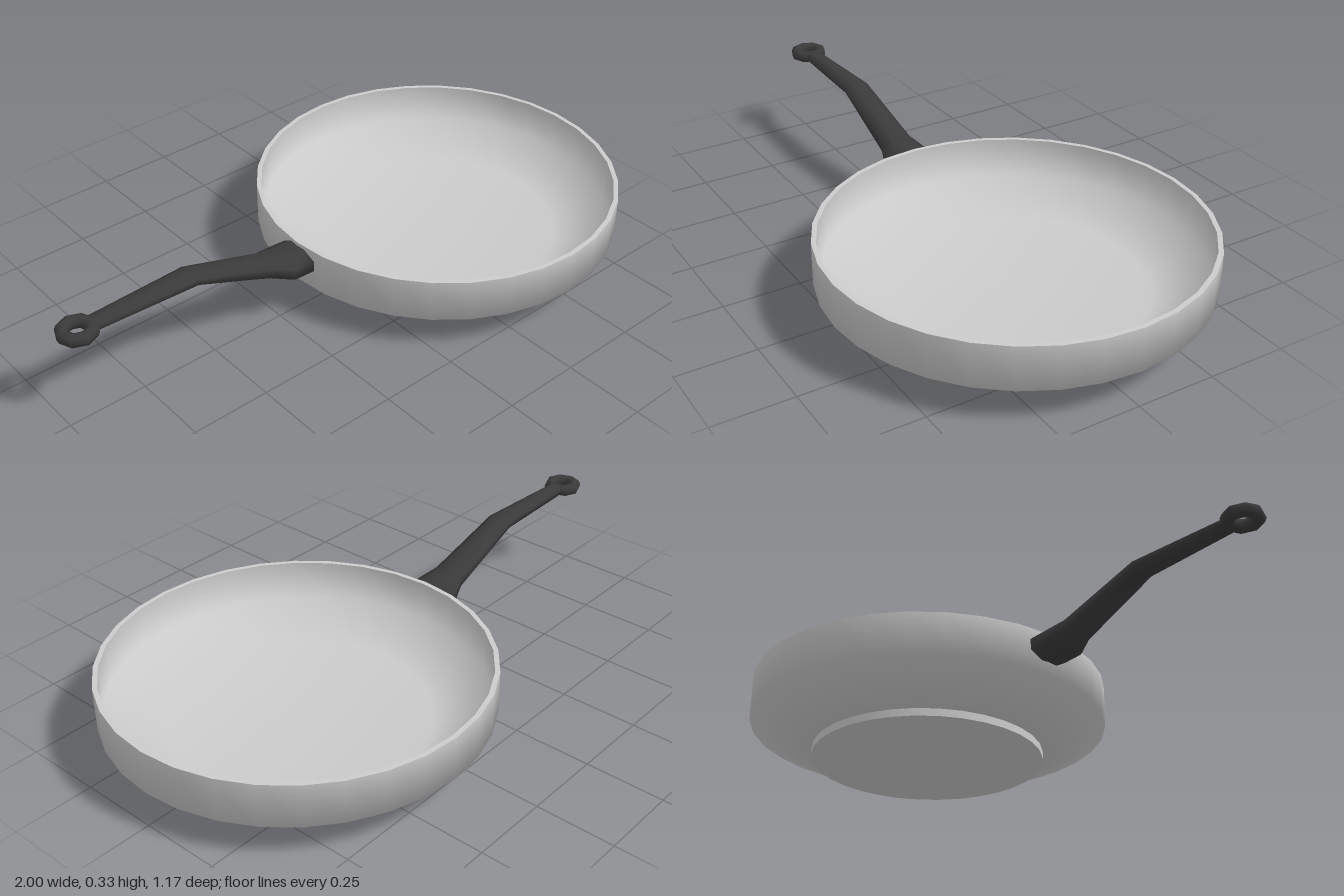
import * as THREE from 'three';

const CX = 0.41; // pan axis
const metal = new THREE.MeshStandardMaterial({ color: 0xcccccc, side: THREE.DoubleSide });
const dark = new THREE.MeshStandardMaterial({ color: 0x3a3a3a });

// Smooth surface of revolution; separate strips keep sharp edges between them
function lathe(name, points) {
  const geo = new THREE.LatheGeometry(points.map(([r, y]) => new THREE.Vector2(r, y)), 32);
  const mesh = new THREE.Mesh(geo, metal);
  mesh.name = name;
  return mesh;
}

// Octagonal loft along x from sections [x, centre y, half height, half width]
function loft(sections) {
  const n = 8, pos = [], idx = [];
  const c = Math.cos(Math.PI / n);
  for (const [x, y, h, w] of sections) {
    for (let i = 0; i < n; i++) {
      const a = (i + 0.5) / n * Math.PI * 2;
      pos.push(x, y + Math.sin(a) * h / c, Math.cos(a) * w / c);
    }
  }
  for (let s = 0; s < sections.length - 1; s++) {
    for (let i = 0; i < n; i++) {
      const a = s * n + i, b = s * n + (i + 1) % n;
      idx.push(a, b, a + n, b, b + n, a + n);
    }
  }
  // End caps
  const last = (sections.length - 1) * n;
  for (let i = 1; i < n - 1; i++) {
    idx.push(0, i + 1, i);
    idx.push(last, last + i, last + i + 1);
  }
  const geo = new THREE.BufferGeometry();
  geo.setAttribute('position', new THREE.Float32BufferAttribute(pos, 3));
  geo.setIndex(idx);
  geo.computeVertexNormals();
  return geo;
}

export function createModel() {
  const model = new THREE.Group();
  model.name = 'fryingPan';

  // Pan body
  const pan = new THREE.Group();
  pan.name = 'pan';
  pan.position.x = CX;
  pan.add(
    lathe('baseUnderside', [[0, 0], [0.38, 0]]),
    lathe('baseEdge', [[0.38, 0], [0.38, 0.025]]),
    lathe('outerWall', [[0.38, 0.025], [0.405, 0.03], [0.587, 0.11], [0.587, 0.247]]),
    lathe('rim', [[0.587, 0.247], [0.572, 0.247]]),
    lathe('innerWall', [[0.572, 0.247], [0.572, 0.12], [0.4, 0.05], [0, 0.05]])
  );
  model.add(pan);

  // Handle: collar at the wall, rising neck, level grip
  const handle = new THREE.Group();
  handle.name = 'handle';
  const shaft = new THREE.Mesh(loft([
    [-0.165, 0.192, 0.042, 0.072],
    [-0.24, 0.196, 0.042, 0.072],
    [-0.295, 0.217, 0.036, 0.052],
    [-0.565, 0.312, 0.0215, 0.041],
    [-0.89, 0.312, 0.0205, 0.027],
  ]), dark);
  shaft.name = 'handleShaft';

  // Hanging eye at the tip
  const eye = new THREE.Mesh(new THREE.TorusGeometry(0.043, 0.0205, 8, 8), dark);
  eye.name = 'hangingEye';
  eye.rotation.x = Math.PI / 2;
  eye.position.set(-0.9365, 0.312, 0);

  handle.add(shaft, eye);
  model.add(handle);
  return model;
}
